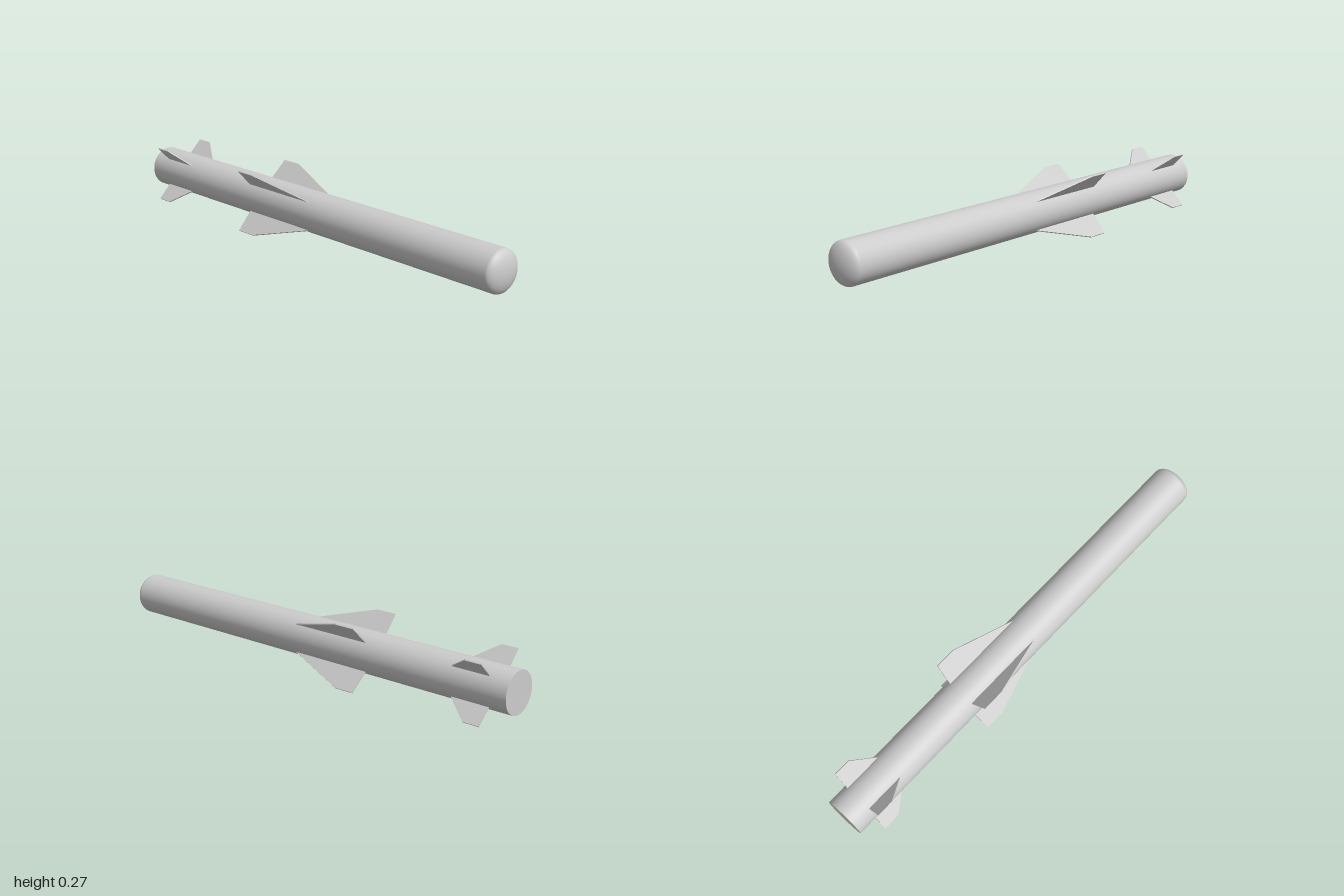
import * as THREE from 'three';

const AXIS_Y = 0.133;   // height of the body's centre line
const RADIUS = 0.086;
const FIN_THICKNESS = 0.005;

// Flat fin outlined in (x along the body, radius from the centre line)
function finGeometry(points) {
  const shape = new THREE.Shape(points.map(([x, r]) => new THREE.Vector2(x, r)));
  const geometry = new THREE.ExtrudeGeometry(shape, { depth: FIN_THICKNESS, bevelEnabled: false });
  return geometry.translate(0, 0, -FIN_THICKNESS / 2);
}

export function createModel() {
  const model = new THREE.Group();
  model.name = 'missile';
  const paint = new THREE.MeshStandardMaterial({ color: 0xcccccc });
  paint.name = 'light grey';

  const assembly = new THREE.Group();
  assembly.name = 'airframe';
  assembly.position.y = AXIS_Y;
  model.add(assembly);

  const add = (geometry, name) => {
    const mesh = new THREE.Mesh(geometry, paint);
    mesh.name = name;
    assembly.add(mesh);
    return mesh;
  };

  // Long tube, closed at the tail
  const noseStart = 0.96;
  const tube = new THREE.CylinderGeometry(RADIUS, RADIUS, 1 + noseStart, 64);
  tube.rotateZ(-Math.PI / 2).translate((noseStart - 1) / 2, 0, 0);
  add(tube, 'body');

  // Shallow domed nose
  const nose = new THREE.SphereGeometry(1, 64, 16, 0, Math.PI * 2, 0, Math.PI / 2);
  nose.scale(RADIUS, 1 - noseStart, RADIUS).rotateZ(-Math.PI / 2).translate(noseStart, 0, 0);
  add(nose, 'nose');

  // Two sets of four fins in an X arrangement
  const fins = {
    wing: finGeometry([[-0.341, 0.075], [0.055, 0.075], [-0.245, 0.185], [-0.333, 0.185]]),
    tailFin: finGeometry([[-0.915, 0.075], [-0.735, 0.075], [-0.842, 0.168], [-0.913, 0.168]]),
  };
  for (const [name, geometry] of Object.entries(fins)) {
    for (let i = 0; i < 4; i++) {
      add(geometry, `${name}${i + 1}`).rotation.x = Math.PI / 4 + i * Math.PI / 2;
    }
  }
  return model;
}
